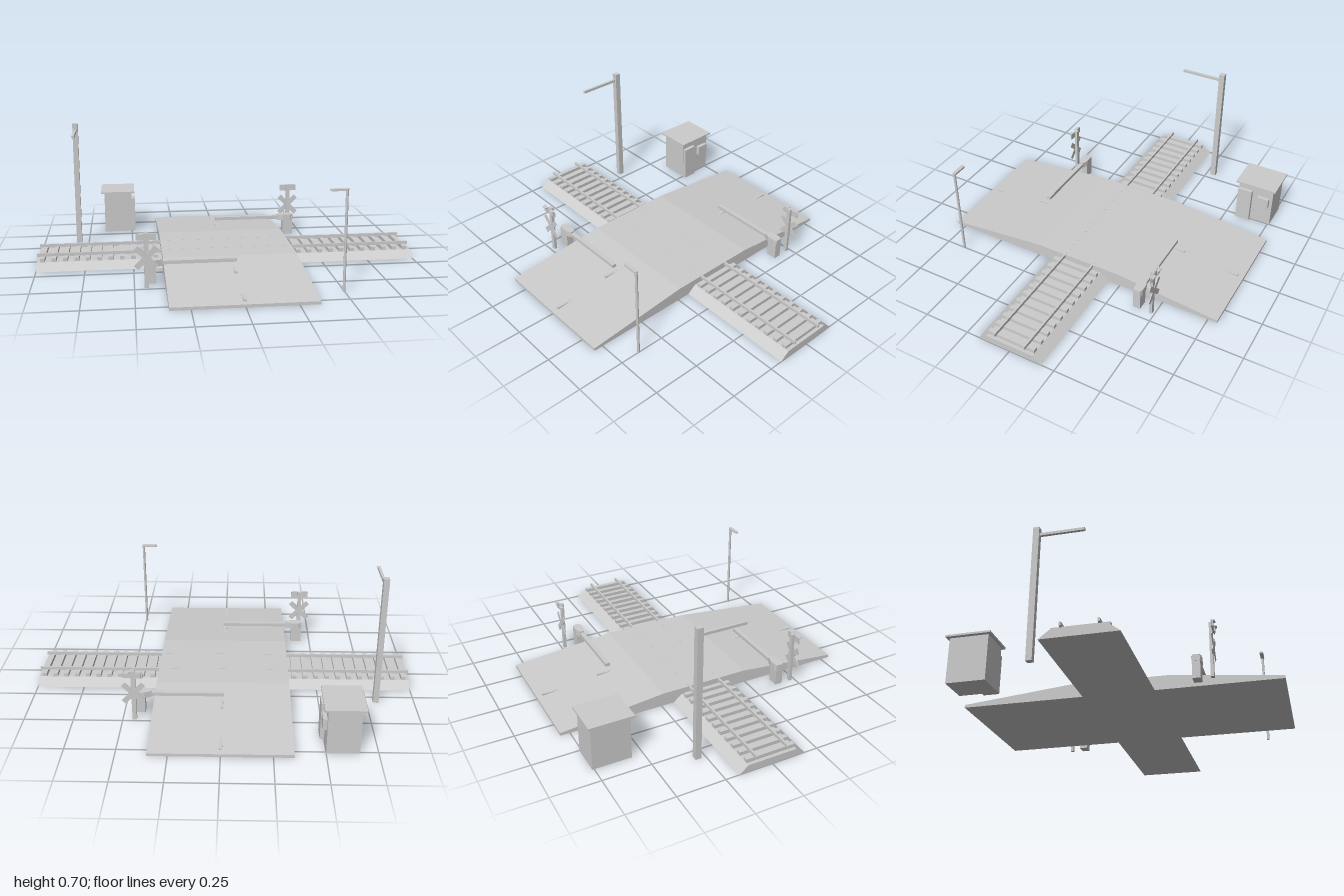
import * as THREE from 'three';

export function createModel() {
  const model = new THREE.Group();
  model.name = 'railwayCrossing';
  const grey = new THREE.MeshStandardMaterial({ color: 0xcccccc });
  grey.name = 'plainGrey';

  const add = (parent, name, geometry, x = 0, y = 0, z = 0) => {
    const mesh = new THREE.Mesh(geometry, grey);
    mesh.name = name;
    mesh.position.set(x, y, z);
    parent.add(mesh);
    return mesh;
  };
  // Box given by its limits on each axis
  const block = (parent, name, [x0, x1], [y0, y1], [z0, z1]) =>
    add(parent, name, new THREE.BoxGeometry(x1 - x0, y1 - y0, z1 - z0),
      (x0 + x1) / 2, (y0 + y1) / 2, (z0 + z1) / 2);
  const group = (name, x = 0, z = 0, turn = 0) => {
    const g = new THREE.Group();
    g.name = name;
    g.position.set(x, 0, z);
    g.rotation.y = turn;
    model.add(g);
    return g;
  };
  const extrude = (points, depth) => new THREE.ExtrudeGeometry(
    new THREE.Shape(points.map(([x, y]) => new THREE.Vector2(x, y))),
    { depth, bevelEnabled: false });
  // Profile in (z, y), swept along x and centred
  const sweepX = (points, width) =>
    extrude(points, width).translate(0, 0, -width / 2).rotateY(-Math.PI / 2);

  // Road ramp over the tracks
  add(model, 'road', sweepX([[-0.8, 0], [0.8, 0], [0.8, 0.015], [0.24, 0.072],
    [-0.24, 0.072], [-0.8, 0.015]], 0.7));
  for (const s of [-1, 1]) {
    for (const [z, top] of [[0.71, 0.027], [0.4, 0.058]]) {
      const dash = block(model, 'roadDash', [-0.008, 0.008], [top - 0.012, top], [z - 0.06, z + 0.06]);
      dash.position.z *= s;
    }
  }

  // Track: ballast, sleepers and rails
  const track = group('track');
  add(track, 'ballast', sweepX([[-0.18, 0], [0.18, 0], [0.132, 0.038], [-0.132, 0.038]], 2));
  for (let i = 0; i < 34; i++) {
    const x = -0.97 + i * 1.94 / 33;
    if (Math.abs(x) < 0.33) continue;
    block(track, 'sleeper', [x - 0.012, x + 0.012], [0.036, 0.057], [-0.132, 0.132]);
  }
  for (const z of [-0.085, 0.085]) {
    block(track, 'rail', [-1, 1], [0.055, 0.0725], [z - 0.005, z + 0.005]);
  }

  // Warning signal, facing its local +z
  const buildSignal = (x, z, turn) => {
    const g = group('warningSignal', x, z, turn);
    block(g, 'signalPost', [-0.011, 0.011], [0, 0.28], [-0.008, 0.008]);
    block(g, 'lampBoard', [-0.049, 0.049], [0.242, 0.277], [0.007, 0.012]);
    for (const s of [-1, 1]) {
      const lx = s * 0.03;
      block(g, 'lamp', [lx - 0.012, lx + 0.012], [0.245, 0.27], [0.011, 0.017]);
      block(g, 'lampVisor', [lx - 0.014, lx + 0.014], [0.27, 0.276], [0.011, 0.025]);
      const arm = block(g, 'crossArm', [-0.071, 0.071], [0.141, 0.169], [0.008, 0.012]);
      arm.rotation.z = s * Math.PI / 4;
    }
  };
  buildSignal(-0.44, 0.475, 0);
  buildSignal(0.44, -0.48, Math.PI);

  // Barrier, its arm reaching along local +x
  const buildBarrier = (x, z, turn) => {
    const g = group('barrier', x, z, turn);
    block(g, 'barrierHousing', [-0.03, 0.028], [0, 0.115], [-0.02, 0.02]);
    // Pivot head, narrowing to the arm
    const head = extrude([[-0.032, -0.015], [-0.015, -0.024], [0.025, -0.024], [0.06, -0.012],
      [0.06, 0.012], [0.025, 0.024], [-0.015, 0.024], [-0.032, 0.015]], 0.034);
    add(g, 'barrierHead', head.rotateX(-Math.PI / 2), 0, 0.086, 0);
    const ends = [0.055, 0.278, 0.355, 0.43];
    for (let i = 0; i < 3; i++) {
      block(g, 'barrierArm', [ends[i], ends[i + 1]], [0.094, 0.112], [-0.012, 0.012]);
    }
  };
  buildBarrier(-0.42, 0.4, 0);
  buildBarrier(0.42, -0.4, Math.PI);

  // Crossing keeper's hut
  const hut = group('hut');
  block(hut, 'hutWalls', [-0.66, -0.5], [0, 0.236], [-0.76, -0.56]);
  block(hut, 'hutRoof', [-0.68, -0.482], [0.236, 0.246], [-0.775, -0.545]);
  block(hut, 'hutDoor', [-0.5, -0.479], [0, 0.2], [-0.642, -0.562]);
  block(hut, 'hutWindow', [-0.5, -0.479], [0.12, 0.178], [-0.742, -0.676]);

  // Overhead line mast
  const mast = group('lineMast', -0.8, -0.289);
  block(mast, 'mastPost', [-0.0145, 0.0145], [0, 0.7], [-0.0155, 0.0155]);
  block(mast, 'mastArm', [-0.007, 0.007], [0.654, 0.668], [0.01, 0.239]);

  // Street lamp
  const lamp = group('streetLamp', 0.497, 0.645);
  add(lamp, 'lampPole', new THREE.CylinderGeometry(0.007, 0.007, 0.5, 12), 0, 0.25, 0);
  const head = extrude([[-0.08, -0.005], [-0.073, -0.01], [0, -0.01], [0.007, -0.005],
    [0.007, 0.005], [0, 0.01], [-0.073, 0.01], [-0.08, 0.005]], 0.01);
  add(lamp, 'lampArm', head.rotateX(-Math.PI / 2), 0, 0.497, 0);

  return model;
}
